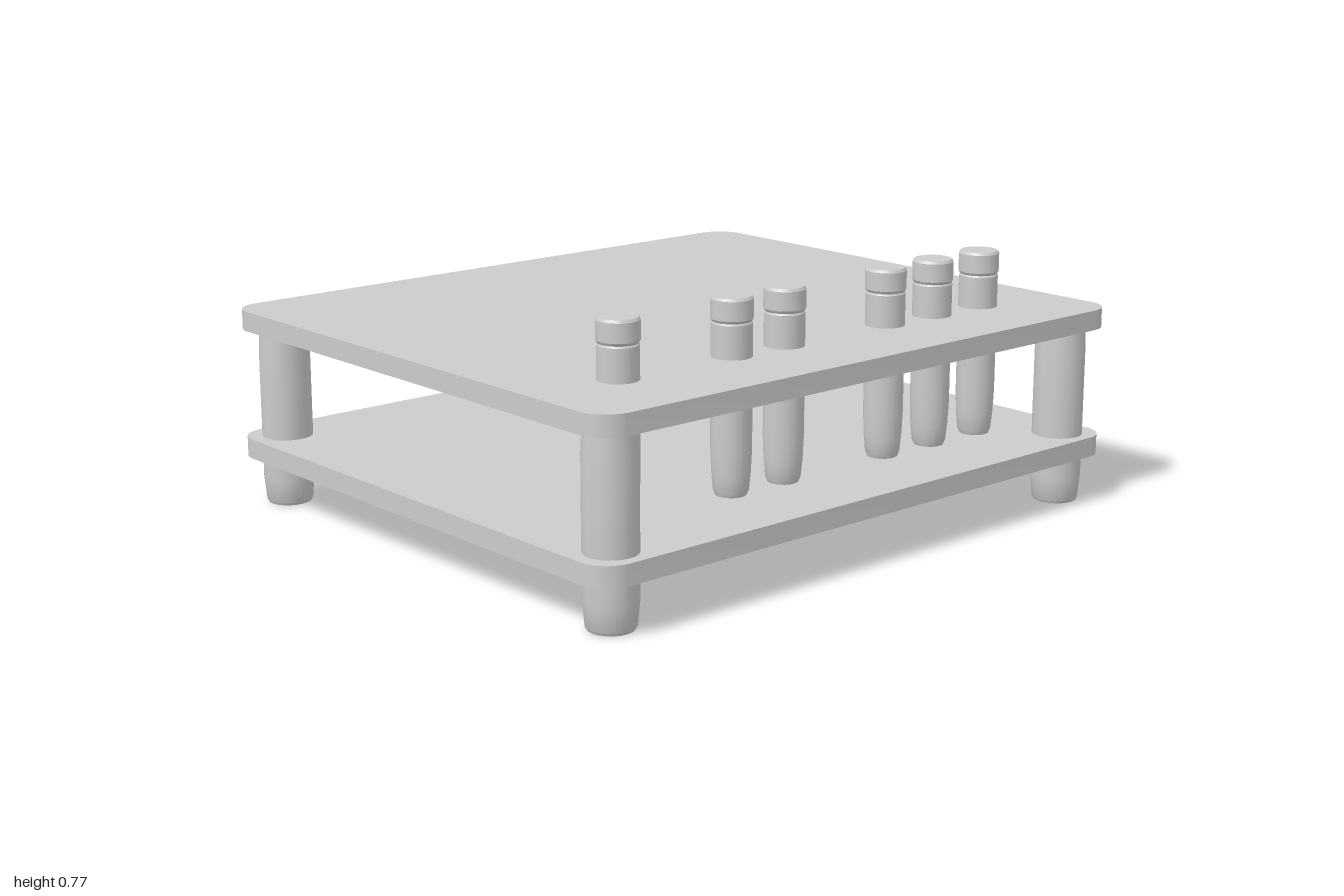
import * as THREE from 'three';
import { toCreasedNormals } from 'three/addons/utils/BufferGeometryUtils.js';

const material = new THREE.MeshStandardMaterial({ color: 0xcccccc });

// Turned part from [radius, y] pairs, listed bottom to top
function turned(profile) {
  const points = profile.map(([r, y]) => new THREE.Vector2(r, y));
  return toCreasedNormals(new THREE.LatheGeometry(points, 24), 0.5);
}

// Horizontal slab with rounded corners
function slab(w, d, r, thickness) {
  const x = w / 2, z = d / 2;
  const shape = new THREE.Shape();
  shape.absarc(x - r, z - r, r, 0, Math.PI / 2);
  shape.absarc(-x + r, z - r, r, Math.PI / 2, Math.PI);
  shape.absarc(-x + r, -z + r, r, Math.PI, Math.PI * 1.5);
  shape.absarc(x - r, -z + r, r, Math.PI * 1.5, Math.PI * 2);
  shape.closePath();
  const geometry = new THREE.ExtrudeGeometry(shape, { depth: thickness, bevelEnabled: false, curveSegments: 8 });
  geometry.rotateX(-Math.PI / 2);
  return toCreasedNormals(geometry, 0.5);
}

export function createModel() {
  const model = new THREE.Group();
  model.name = 'tubeRack';
  const add = (name, geometry, x, y, z) => {
    const mesh = new THREE.Mesh(geometry, material);
    mesh.name = name;
    mesh.position.set(x, y, z);
    model.add(mesh);
  };

  // Two shelves
  const plate = slab(2, 1.745, 0.09, 0.06);
  add('lowerShelf', plate, 0, 0.147, 0);
  add('upperShelf', plate, 0, 0.54, 0);

  // Corner posts, running through the lower shelf to form the feet
  const post = turned([[0, 0], [0.064, 0], [0.069, 0.008], [0.076, 0.08], [0.076, 0.47], [0.072, 0.545], [0, 0.545]]);
  for (const x of [-0.885, 0.885]) {
    for (const z of [-0.765, 0.765]) add('cornerPost', post, x, 0, z);
  }

  // Row of tubes standing through the upper shelf, each with a cap
  const tube = turned([[0, 0.205], [0.043, 0.205], [0.05, 0.22], [0.055, 0.27], [0.058, 0.34],
    [0.058, 0.695], [0.053, 0.703], [0, 0.703]]);
  const cap = turned([[0, 0.695], [0.052, 0.695], [0.06, 0.708], [0.06, 0.762], [0.055, 0.77], [0, 0.77]]);
  for (const x of [-0.71, -0.305, -0.105, 0.3, 0.5, 0.703]) {
    add('tube', tube, x, 0, 0.59);
    add('tubeCap', cap, x, 0, 0.59);
  }
  return model;
}
